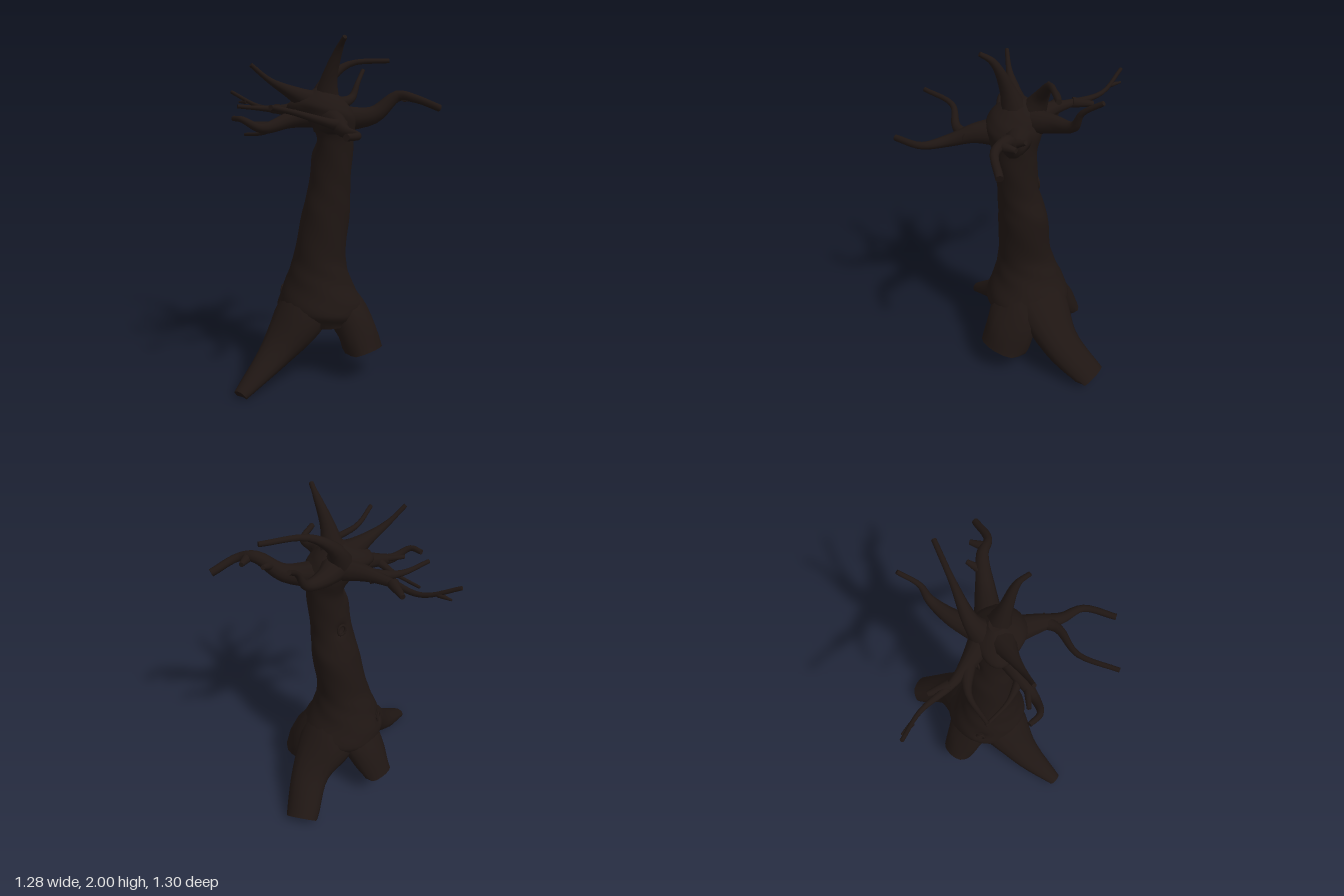
import * as THREE from 'three';

const V = (x, y, z) => new THREE.Vector3(x, y, z);
const bark = new THREE.MeshStandardMaterial({ color: 0x1f1613 });

// Skin a path of stations [x, y, z, radiusA, radiusB]; rings follow the path or stay level
function sweep(name, stations, { sides = 10, steps = 5, level = false, lump = 0.05, deform } = {}) {
  const path = new THREE.CatmullRomCurve3(stations.map(s => V(s[0], s[1], s[2])));
  const radii = new THREE.CatmullRomCurve3(stations.map(s => V(s[3], s[4], 0)), false, 'catmullrom', 0.5);
  const n = (stations.length - 1) * steps;
  const pos = [], idx = [], rings = [];
  const side = V(1, 0, 0);
  for (let i = 0; i <= n; i++) {
    const c = path.getPoint(i / n), r = radii.getPoint(i / n);
    const dir = level ? V(0, 1, 0) : path.getTangent(i / n);
    if (i === 0 && !level) side.crossVectors(dir, V(0, 1, 0));
    side.addScaledVector(dir, -side.dot(dir)).normalize();
    const other = V(0, 0, 0).crossVectors(dir, side);
    const ring = [];
    for (let j = 0; j < sides; j++) {
      const a = j / sides * Math.PI * 2;
      const k = 1 + lump * Math.sin(3 * a + i * 0.45) * Math.sin(a + i * 0.3);
      const p = c.clone().addScaledVector(side, r.x * k * Math.cos(a))
        .addScaledVector(other, r.y * k * Math.sin(a));
      if (deform) deform(p, c);
      ring.push(p);
      pos.push(p.x, p.y, p.z);
    }
    rings.push(ring);
  }
  for (let i = 0; i < n; i++) for (let j = 0; j < sides; j++) {
    const a = i * sides + j, b = i * sides + (j + 1) % sides;
    idx.push(a, b, b + sides, a, b + sides, a + sides);
  }
  // Flat end caps with their own vertices keep the cut ends crisp
  for (const [ring, end] of [[rings[0], false], [rings[n], true]]) {
    const base = pos.length / 3, mid = V(0, 0, 0);
    for (const p of ring) {
      mid.addScaledVector(p, 1 / sides);
      pos.push(p.x, p.y, p.z);
    }
    pos.push(mid.x, mid.y, mid.z);
    for (let j = 0; j < sides; j++) {
      const a = base + j, b = base + (j + 1) % sides;
      idx.push(base + sides, end ? a : b, end ? b : a);
    }
  }
  const g = new THREE.BufferGeometry();
  g.setAttribute('position', new THREE.Float32BufferAttribute(pos, 3));
  g.setIndex(idx);
  g.computeVertexNormals();
  const mesh = new THREE.Mesh(g, bark);
  mesh.name = name;
  return mesh;
}

// Root: points [x, y, z, half width], cut level at the foot height
function root(name, foot, points) {
  return sweep(name, points.map(([x, y, z, w]) => [x, y, z, w, w * 0.72]),
    { sides: 16, deform: p => { p.y = Math.max(p.y, foot); } });
}

// Branch: points [x, y, z], thinning quickly from the base and slowly to the tip
function branch(name, thick, thin, ...points) {
  return sweep(name, points.map(([x, y, z], i) => {
    const r = thin + (thick - thin) * (1 - i / (points.length - 1)) ** 2.3;
    return [x, y, z, r, r];
  }));
}

// Trunk with a hollow under an overhanging brow at the back, and two knot holes
function trunk() {
  const knots = [V(0.09, 1.2, 0.052), V(-0.05, 0.49, -0.125)];
  // Centre, radius, depth; the negative depth raises the brow
  const dents = [
    [V(-0.03, 1.47, 0.07), 0.075, 0.08],
    [V(-0.07, 1.61, 0.03), 0.075, -0.07],
    ...knots.map(k => [k, 0.03, 0.03]),
  ];
  // Outline by height: y, xMin, xMax, zMin, zMax
  const outline = [
    [0.33, -0.17, 0.27, -0.13, 0.32],
    [0.42, -0.215, 0.3, -0.165, 0.35],
    [0.58, -0.17, 0.225, -0.11, 0.285],
    [0.72, -0.135, 0.185, -0.06, 0.255],
    [1.0, -0.1, 0.195, -0.01, 0.27],
    [1.18, -0.075, 0.165, 0.035, 0.28],
    [1.42, -0.08, 0.165, 0.05, 0.3],
    [1.56, -0.135, 0.175, 0, 0.315],
    [1.64, -0.135, 0.14, 0, 0.27],
    [1.72, -0.03, 0.05, 0.08, 0.18],
  ];
  const group = new THREE.Group();
  group.name = 'trunk';
  group.add(sweep('trunkBark', outline.map(([y, x0, x1, z0, z1]) =>
    [(x0 + x1) / 2, y, (z0 + z1) / 2, (x1 - x0) / 2, (z1 - z0) / 2]), {
    sides: 48, steps: 9, level: true, lump: 0.02,
    deform(p, c) {
      const inward = V(c.x - p.x, 0, c.z - p.z).normalize();
      const push = dents.reduce((sum, [at, r, depth]) =>
        sum + depth * Math.exp(-p.distanceToSquared(at) / (r * r)), 0);
      p.addScaledVector(inward, push);
    },
  }));
  for (const at of knots) {
    const rim = new THREE.Mesh(new THREE.TorusGeometry(0.026, 0.007, 8, 16), bark);
    rim.name = 'knotRim';
    rim.scale.y = 1.25;
    rim.position.copy(at);
    rim.lookAt(2 * at.x - 0.045, at.y, 2 * at.z - 0.16);
    group.add(rim);
  }
  return group;
}

export function createModel() {
  const tree = new THREE.Group();
  tree.name = 'bareTree';
  tree.add(trunk());

  // Four spreading roots
  tree.add(
    root('rightRoot', 0.01, [[0.02, 0.6, 0.08, 0.12], [-0.11, 0.4, 0.07, 0.17],
      [-0.3, 0.2, 0.03, 0.11], [-0.59, 0.025, 0.015, 0.045]]),
    root('leftRoot', 0.05, [[0.04, 0.6, 0.1, 0.12], [0.17, 0.42, 0.1, 0.18],
      [0.38, 0.225, 0.12, 0.125], [0.59, 0.04, 0.05, 0.1]]),
    root('frontRoot', 0.165, [[0.08, 0.58, 0.13, 0.12], [0.11, 0.42, 0.215, 0.16],
      [0.125, 0.29, 0.3, 0.16], [0.125, 0.15, 0.36, 0.15]]),
    root('backRoot', 0.16, [[0.05, 0.58, 0.05, 0.12], [0.065, 0.42, -0.035, 0.15],
      [0.08, 0.29, -0.125, 0.13], [0.09, 0.14, -0.215, 0.1]]),
  );

  // Branches low on the crown, right side
  tree.add(
    branch('frontRightBranch', 0.095, 0.018, [0, 1.53, 0.17], [-0.12, 1.525, 0.32],
      [-0.21, 1.485, 0.44], [-0.28, 1.47, 0.57], [-0.46, 1.47, 0.625]),
    branch('frontRightFork', 0.045, 0.014, [-0.13, 1.51, 0.36], [-0.24, 1.53, 0.36],
      [-0.41, 1.585, 0.265], [-0.64, 1.615, 0.295]),
    branch('curledBranch', 0.08, 0.015, [-0.02, 1.57, 0.1], [-0.17, 1.54, 0.03],
      [-0.34, 1.495, -0.035], [-0.415, 1.545, -0.11], [-0.4, 1.55, -0.19]),
    branch('curledTwig', 0.022, 0.012, [-0.27, 1.51, 0], [-0.35, 1.52, -0.11]),
    branch('droopingTwig', 0.03, 0.009, [-0.22, 1.53, 0.01], [-0.23, 1.465, -0.12], [-0.2, 1.45, -0.29]),
  );

  // Branches rising from the top of the crown
  tree.add(
    branch('upperRightBranch', 0.09, 0.012, [-0.02, 1.62, 0.11], [-0.14, 1.69, 0.03],
      [-0.26, 1.76, -0.04], [-0.35, 1.845, -0.1]),
    branch('topBranch', 0.095, 0.013, [0.02, 1.6, 0.14], [0, 1.78, 0.185],
      [-0.015, 1.95, 0.27], [-0.05, 1.995, 0.325]),
    branch('upperLeftBranch', 0.09, 0.014, [0.05, 1.6, 0.08], [0.13, 1.745, 0.06],
      [0.27, 1.865, 0.13], [0.49, 1.89, 0.275]),
    branch('leftBranch', 0.085, 0.013, [0.06, 1.6, 0.1], [0.24, 1.625, 0.065],
      [0.39, 1.665, 0.07], [0.45, 1.76, 0.075], [0.56, 1.84, 0.04]),
  );

  // Branches reaching forward and back
  tree.add(
    branch('frontLeftBranch', 0.085, 0.021, [0.08, 1.54, 0.17], [0.22, 1.565, 0.34],
      [0.31, 1.675, 0.45], [0.34, 1.66, 0.55], [0.48, 1.605, 0.635]),
    branch('frontLeftTwig', 0.03, 0.013, [0.26, 1.62, 0.39], [0.36, 1.66, 0.37]),
    branch('frontLeftOuterTwig', 0.03, 0.014, [0.31, 1.67, 0.5], [0.41, 1.67, 0.475]),
    branch('backBranch', 0.08, 0.011, [0.06, 1.59, 0.1], [0.04, 1.6, -0.08],
      [0.045, 1.595, -0.24], [0.09, 1.615, -0.45], [0.055, 1.705, -0.645]),
    branch('backTwig', 0.032, 0.016, [0.05, 1.6, -0.25], [0.12, 1.585, -0.35]),
    branch('backTipTwig', 0.015, 0.006, [0.08, 1.64, -0.53], [0.09, 1.64, -0.61]),
    branch('backRightFork', 0.045, 0.012, [0.04, 1.59, -0.1], [-0.06, 1.6, -0.24], [-0.23, 1.615, -0.32]),
  );
  return tree;
}
